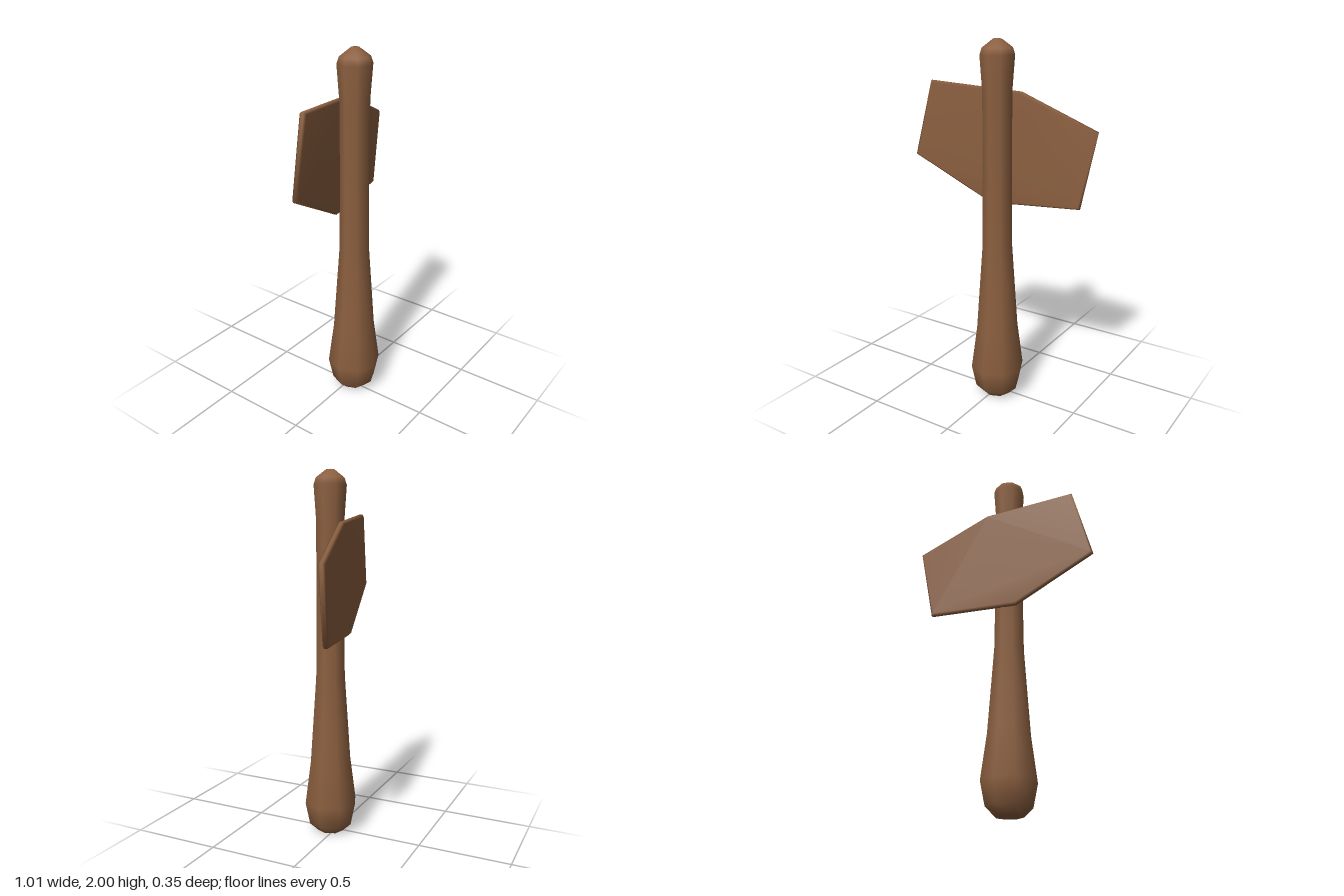
import * as THREE from 'three';
import { mergeVertices } from 'three/addons/utils/BufferGeometryUtils.js';

const vectors = (pairs) => pairs.map(([x, y]) => new THREE.Vector2(x, y));

// Weld the corners so the shading runs smoothly over the edges
function smooth(geometry) {
  geometry.deleteAttribute('uv');
  geometry.deleteAttribute('normal');
  const welded = mergeVertices(geometry, 1e-4);
  welded.computeVertexNormals();
  return welded;
}

export function createModel() {
  const model = new THREE.Group();
  model.name = 'axe';

  const wood = new THREE.MeshStandardMaterial({ color: 0x8b5f3f });
  wood.name = 'brown wood';

  // Eight-sided handle with a swollen grip and a knobbed top
  const profile = vectors([
    [0, 0], [0.075, 0.003], [0.124, 0.05], [0.15, 0.175], [0.117, 0.42],
    [0.083, 0.9], [0.079, 1.3], [0.079, 1.74], [0.092, 1.92], [0.08, 1.955],
    [0.022, 1.998], [0, 2],
  ]);
  const handle = new THREE.Mesh(new THREE.LatheGeometry(profile, 8), wood);
  handle.name = 'handle';
  handle.position.set(0.014, 0, 0.026);
  model.add(handle);

  // Thin slanted blade with softened edges, turned slightly behind the handle
  const bevel = 0.011;
  const depth = 0.014;
  const outline = new THREE.Shape(vectors([
    [-0.411, 1.77], [0.1, 1.73], [0.512, 1.545],
    [0.43, 1.13], [-0.07, 1.12], [-0.514, 1.36],
  ]));
  const plate = new THREE.ExtrudeGeometry(outline, {
    depth, bevelEnabled: true, bevelThickness: bevel, bevelSize: bevel,
    bevelOffset: -bevel, bevelSegments: 1,
  });
  plate.translate(0, 0, -depth / 2);
  const blade = new THREE.Mesh(smooth(plate), wood);
  blade.name = 'blade';
  blade.rotation.y = 0.211;
  blade.position.z = -0.055;
  model.add(blade);

  return model;
}
